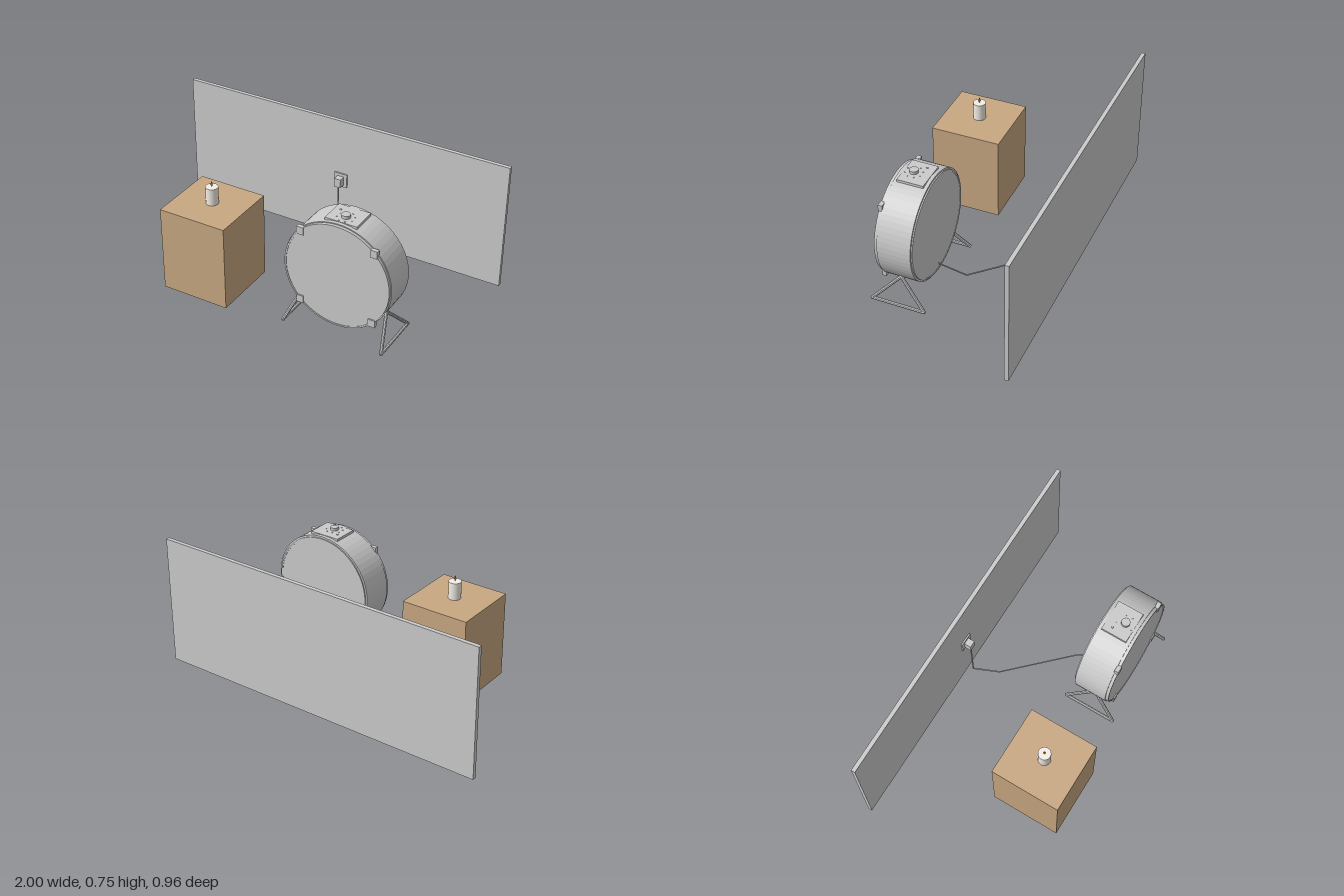
import * as THREE from 'three';

const grey = new THREE.MeshStandardMaterial({ color: 0xcccccc });
const facet = new THREE.MeshStandardMaterial({ color: 0xcccccc, flatShading: true });
const tan = new THREE.MeshStandardMaterial({ color: 0xc8a882 });
const wax = new THREE.MeshStandardMaterial({ color: 0xf5f0e6 });
const flameColor = new THREE.MeshStandardMaterial({ color: 0xd08a30 });

function add(parent, name, geometry, x, y, z, material = grey) {
  const mesh = new THREE.Mesh(geometry, material);
  mesh.name = name;
  mesh.position.set(x, y, z);
  parent.add(mesh);
  return mesh;
}

// Box given by its lower and upper corners
function box(parent, name, a, b, material) {
  const size = a.map((v, i) => b[i] - v);
  const mid = a.map((v, i) => (v + b[i]) / 2);
  return add(parent, name, new THREE.BoxGeometry(...size), ...mid, material);
}

// Straight round bars joining a list of points
function bars(parent, name, points, radius, sides = 8, material = grey) {
  const group = new THREE.Group();
  group.name = name;
  const up = new THREE.Vector3(0, 1, 0);
  for (let i = 1; i < points.length; i++) {
    const a = new THREE.Vector3(...points[i - 1]);
    const b = new THREE.Vector3(...points[i]);
    const dir = b.clone().sub(a);
    const bar = add(group, name + 'Bar', new THREE.CylinderGeometry(radius, radius, dir.length() + radius * 0.8, sides),
      ...a.clone().add(b).multiplyScalar(0.5).toArray(), material);
    bar.quaternion.setFromUnitVectors(up, dir.normalize());
  }
  parent.add(group);
}

function createModel() {
  const model = new THREE.Group();
  model.name = 'heaterScene';

  // Wall, outlet and plug
  box(model, 'wall', [-1, 0, -0.48], [1, 0.752, -0.457]);
  box(model, 'outletPlate', [-0.04, 0.335, -0.457], [0.04, 0.42, -0.449]);
  box(model, 'plug', [-0.02, 0.35, -0.449], [0.02, 0.403, -0.41]);

  // Crate with a candle on top
  box(model, 'crate', [-0.58, 0, 0.08], [-0.18, 0.5, 0.48], tan);
  const candle = new THREE.Group();
  candle.name = 'candle';
  candle.position.set(-0.38, 0.5, 0.28);
  add(candle, 'wax', new THREE.CylinderGeometry(0.035, 0.035, 0.1, 32), 0, 0.05, 0, wax);
  add(candle, 'wick', new THREE.CylinderGeometry(0.002, 0.002, 0.014, 8), 0, 0.106, 0);
  add(candle, 'flame', new THREE.LatheGeometry(
    [[0, 0], [0.005, 0.004], [0.006, 0.009], [0.004, 0.018], [0, 0.029]].map(p => new THREE.Vector2(...p)), 16),
    0, 0.106, 0, flameColor);
  model.add(candle);

  // Drum housing with front and back rims
  const drum = new THREE.Group();
  drum.name = 'drum';
  drum.position.set(0.434, 0.365, 0);
  const disc = (name, radius, z0, z1) => add(drum, name,
    new THREE.CylinderGeometry(radius, radius, z1 - z0, 64).rotateX(Math.PI / 2), 0, 0, (z0 + z1) / 2, facet);
  disc('housing', 0.311, 0.17, 0.36);
  disc('frontGrille', 0.298, 0.35, 0.374);
  disc('backGrille', 0.293, 0.165, 0.18);
  const rim = (name, outer, inner, z0, z1) => {
    const shape = new THREE.Shape().absarc(0, 0, outer, 0, Math.PI * 2);
    shape.holes.push(new THREE.Path().absarc(0, 0, inner, 0, Math.PI * 2, true));
    add(drum, name, new THREE.ExtrudeGeometry(shape, { depth: z1 - z0, bevelEnabled: false, curveSegments: 64 }), 0, 0, z0);
  };
  rim('frontRim', 0.305, 0.296, 0.36, 0.377);
  rim('backRim', 0.3, 0.291, 0.163, 0.172);

  // Four clips holding the front grille
  for (const sx of [-1, 1])
    for (const sy of [-1, 1])
      add(drum, 'clip', new THREE.BoxGeometry(0.04, 0.044, 0.024), sx * 0.212, sy * 0.213, 0.369);
  model.add(drum);

  // Control panel with dial and marks
  const panel = new THREE.Group();
  panel.name = 'controlPanel';
  panel.position.set(0.436, 0.664, 0.265);
  box(panel, 'panelPlate', [-0.092, 0, -0.075], [0.092, 0.0145, 0.075]);
  add(panel, 'dial', new THREE.CylinderGeometry(0.024, 0.024, 0.019, 32), 0, 0.0225, 0.02);
  for (let i = 0; i < 8; i++) {
    const a = (i + 0.5) * Math.PI / 4;
    add(panel, 'dialMark', new THREE.CylinderGeometry(0.004, 0.004, 0.004, 10),
      Math.cos(a) * 0.047, 0.015, 0.02 + Math.sin(a) * 0.047);
  }
  add(panel, 'indicatorLight', new THREE.SphereGeometry(0.006, 12, 8), -0.057, 0.0145, -0.028);
  model.add(panel);

  // Triangular feet on both sides
  for (const s of [-1, 1]) {
    const x = d => 0.434 + s * d;
    const apex = [x(0.24), 0.166, 0.265];
    const front = [x(0.293), 0.011, 0.417];
    const back = [x(0.293), 0.011, 0.113];
    bars(model, s < 0 ? 'rightFoot' : 'leftFoot', [apex, front, back, apex], 0.0095, 8, facet);
  }

  // Power cord along the floor and up to the plug
  bars(model, 'cord', [[0.434, 0.1, 0.168], [0.37, 0.01, 0.03], [0.06, 0.01, -0.285],
    [0, 0.01, -0.425], [0, 0.355, -0.425]], 0.004);

  return model;
}

export { createModel };
